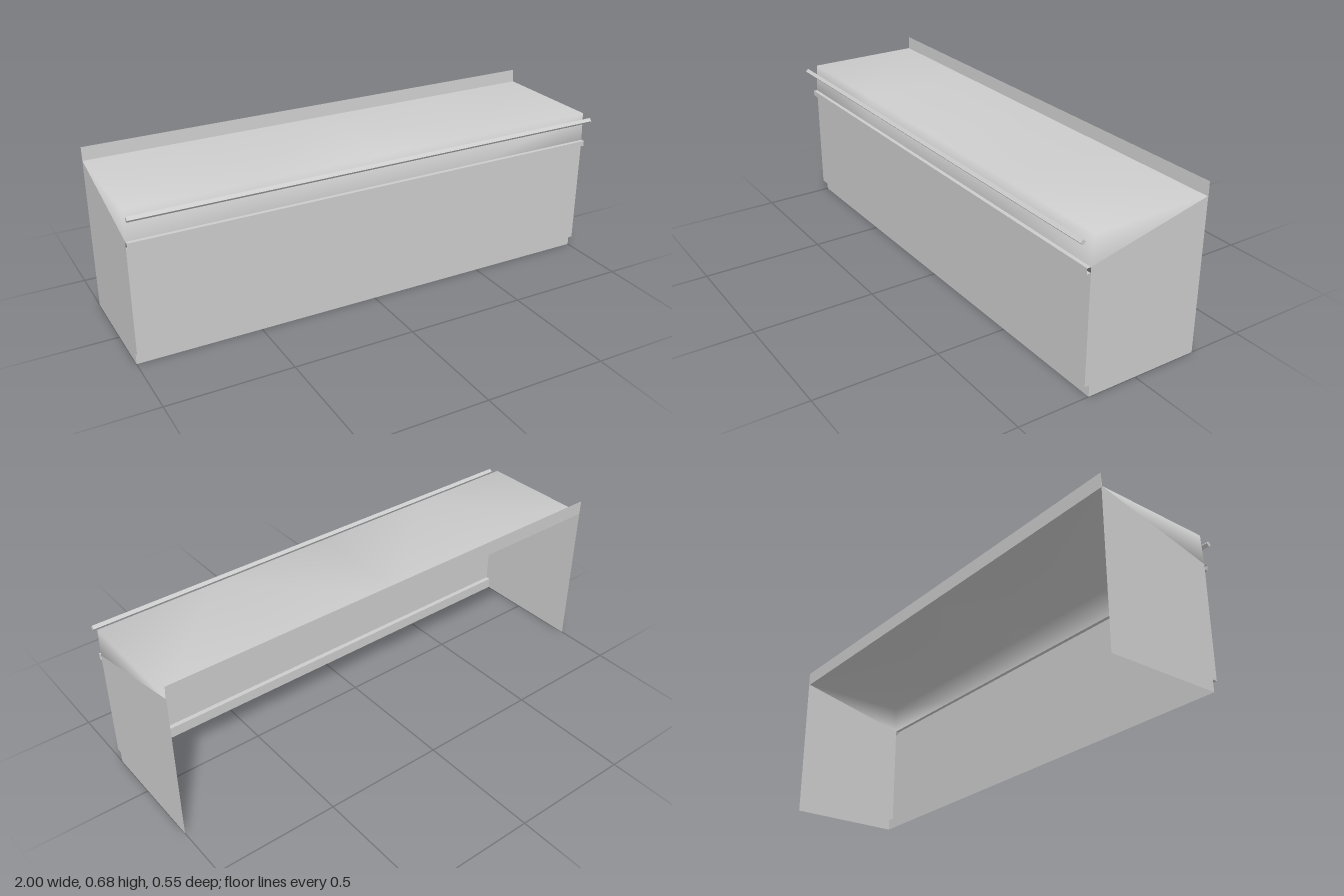
import * as THREE from 'three';

const W = 2, H = 1; // full and half width
const FRONT = 0.227, BACK = -0.273, TOP = 0.628;
const mat = () => new THREE.MeshStandardMaterial({ color: 0xcccccc, side: THREE.DoubleSide });

function add(group, name, geometry) {
  const mesh = new THREE.Mesh(geometry, mat());
  mesh.name = name;
  group.add(mesh);
  return mesh;
}

// Indexed smooth surface from corner points and faces
function surface(points, faces) {
  const g = new THREE.BufferGeometry();
  g.setAttribute('position', new THREE.Float32BufferAttribute(points.flat(), 3));
  g.setIndex(faces.flat());
  g.computeVertexNormals();
  return g;
}

// Thin sheet: a [z, y] profile drawn along the whole width
function sheet(profile) {
  const pts = [], faces = [];
  for (let i = 0; i < profile.length - 1; i++) {
    const [[z0, y0], [z1, y1]] = [profile[i], profile[i + 1]], n = i * 4;
    pts.push([-H, y0, z0], [H, y0, z0], [H, y1, z1], [-H, y1, z1]);
    faces.push([n, n + 1, n + 2], [n, n + 2, n + 3]);
  }
  return surface(pts, faces);
}

const shape = section => new THREE.Shape(section.map(([z, y]) => new THREE.Vector2(-z, y)));

// Solid bar: a closed [z, y] section extruded along the whole width
function bar(section) {
  const g = new THREE.ExtrudeGeometry(shape(section), { depth: W, bevelEnabled: false });
  g.translate(0, 0, -H);
  return g.rotateY(Math.PI / 2);
}

export function createModel() {
  const model = new THREE.Group();
  model.name = 'counter';

  // Front panel with recessed kick strip and a hollow bumper ridge
  add(model, 'frontPanel', sheet([
    [0.207, 0], [0.207, 0.047], [FRONT, 0.047], [FRONT, 0.488],
    [0.243, 0.488], [0.243, 0.51], [FRONT, 0.51],
  ]));

  // Side panels, up to the slanted seam with the worktop shell
  const outline = [[0.207, 0], [BACK, 0], [BACK, TOP], [FRONT, 0.51], [FRONT, 0.047], [0.207, 0.047]];
  for (const side of [-1, 1]) {
    const g = new THREE.ShapeGeometry(shape(outline)).rotateY(side * Math.PI / 2);
    if (side < 0) g.scale(1, 1, -1).setIndex([...g.index.array].reverse()); // mirrored, facing outward
    add(model, side > 0 ? 'leftPanel' : 'rightPanel', g).position.x = side * H;
  }

  // Worktop shell: flat top, upright front band and triangular ends, softly shaded as one
  const pts = [], faces = [];
  for (let i = 0; i < 5; i++) {
    const x = -H + i * 0.5;
    pts.push([x, 0.51, FRONT], [x, TOP, 0.22], [x, TOP, BACK]);
  }
  const foot = i => i * 3, rim = i => i * 3 + 1, back = i => i * 3 + 2;
  for (let i = 0; i < 4; i++) {
    const j = i + 1;
    faces.push([foot(i), foot(j), rim(j)], [foot(i), rim(j), rim(i)]);
    if (i % 2 === 0) faces.push([rim(i), rim(j), back(i)], [rim(j), back(j), back(i)]);
    else faces.push([rim(i), rim(j), back(j)], [rim(i), back(j), back(i)]);
  }
  faces.push([foot(4), back(4), rim(4)], [foot(0), rim(0), back(0)]);
  add(model, 'worktop', surface(pts, faces));

  // Back upstand and diamond-section hand rail
  add(model, 'backUpstand', bar([[-0.269, 0.622], [-0.2735, 0.682], [-0.2735, 0.622]].reverse()));
  const r = 0.011, z = 0.265, y = 0.61;
  add(model, 'handRail', bar([[z + r, y], [z, y - r], [z - r, y], [z, y + r]]));

  return model;
}
